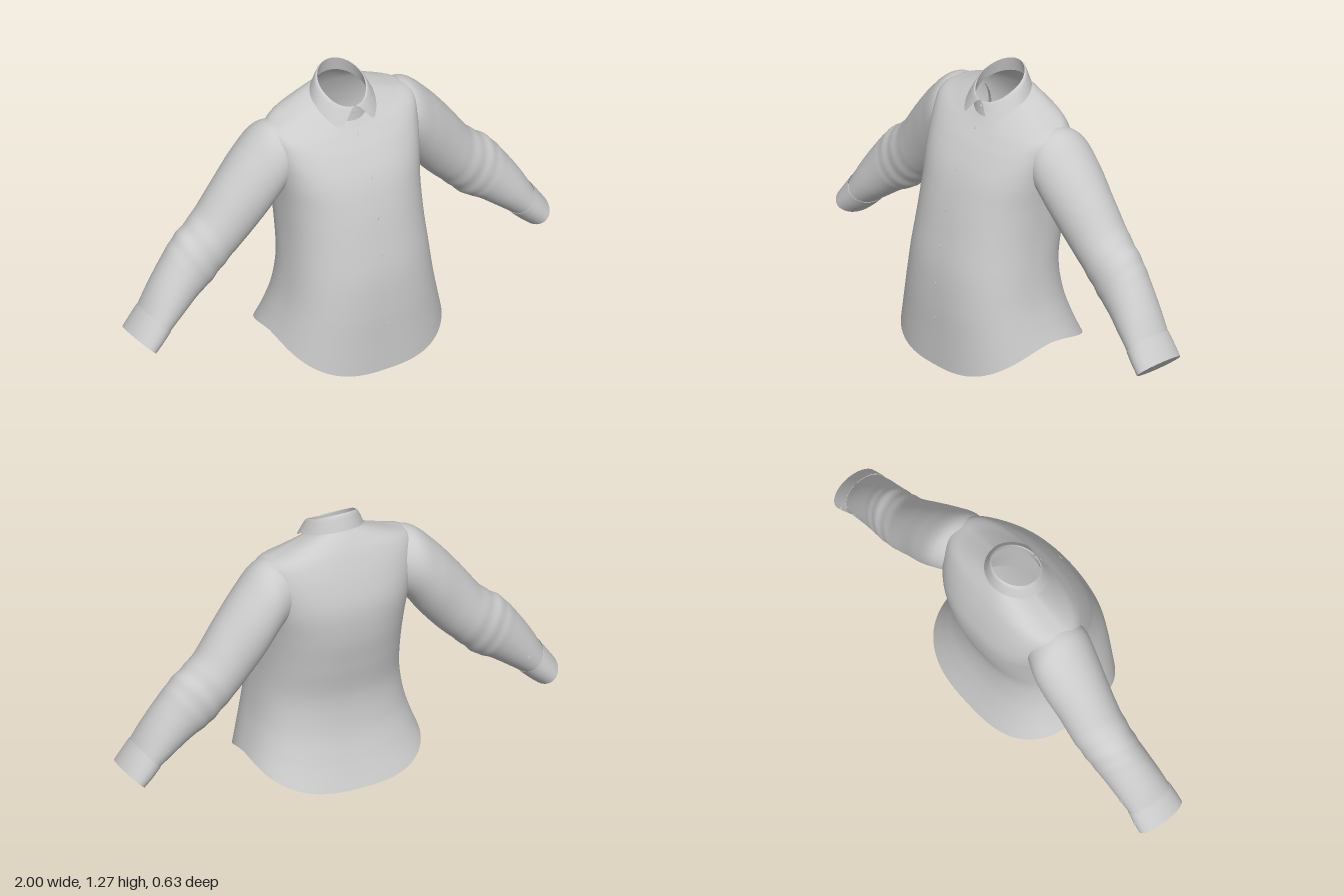
import * as THREE from 'three';

const material = new THREE.MeshStandardMaterial({ color: 0xcccccc, side: THREE.DoubleSide });
const TURN = Math.PI * 2;

// Smoothly interpolates a table of rows at t in 0..1
function sample(rows, t) {
  const f = t * (rows.length - 1);
  const i = Math.min(Math.floor(f), rows.length - 2);
  const k = f - i;
  const at = (j) => rows[Math.max(0, Math.min(rows.length - 1, j))];
  return rows[i].map((_, c) => {
    const p0 = at(i - 1)[c], p1 = at(i)[c], p2 = at(i + 1)[c], p3 = at(i + 2)[c];
    return p1 + 0.5 * k * (p2 - p0 + k * (2 * p0 - 5 * p1 + 4 * p2 - p3 + k * (3 * (p1 - p2) + p3 - p0)));
  });
}

// Skin over point(u, v); a closed skin wraps around in u
function skin(name, nu, nv, closed, point) {
  const pos = [], index = [];
  const cols = closed ? nu : nu + 1;
  for (let j = 0; j <= nv; j++)
    for (let i = 0; i < cols; i++) pos.push(...point(i / nu, j / nv));
  for (let j = 0; j < nv; j++)
    for (let i = 0; i < nu; i++) {
      const a = j * cols + i, b = j * cols + ((i + 1) % cols);
      index.push(a, a + cols, b, b, a + cols, b + cols);
    }
  const geo = new THREE.BufferGeometry();
  geo.setAttribute('position', new THREE.Float32BufferAttribute(pos, 3));
  geo.setIndex(index);
  geo.computeVertexNormals();
  const mesh = new THREE.Mesh(geo, material);
  mesh.name = name;
  return mesh;
}

// Body ring row: yFront, ySide, yBack, halfWidth, zFront, zBack, squareness, rise curve
function bodyPoint([yF, yS, yB, w, zF, zB, n, rise], angle) {
  const c = Math.cos(angle), s = Math.sin(angle);
  const xn = Math.sign(c) * Math.abs(c) ** (2 / n);
  const zn = Math.sign(s) * Math.abs(s) ** (2 / n);
  const mid = (zF + zB) / 2, half = (zF - zB) / 2;
  const y = yS + ((s > 0 ? yF : yB) - yS) * Math.abs(zn) ** rise;
  return [w * xn, y, mid + half * zn];
}

const TORSO = [
  [0.00, 0.15, 0.04, 0.380, 0.312, -0.312, 2.7, 1.7],
  [0.14, 0.22, 0.16, 0.357, 0.312, -0.268, 2.6, 1.7],
  [0.29, 0.32, 0.29, 0.332, 0.312, -0.235, 2.5, 1.7],
  [0.45, 0.45, 0.44, 0.315, 0.303, -0.228, 2.4, 1.7],
  [0.60, 0.60, 0.60, 0.306, 0.277, -0.258, 2.4, 1.7],
  [0.75, 0.75, 0.74, 0.310, 0.243, -0.284, 2.4, 1.7],
  [0.87, 0.88, 0.88, 0.325, 0.202, -0.290, 2.5, 1.7],
  [0.97, 1.00, 1.00, 0.340, 0.145, -0.264, 2.5, 1.7],
  [1.03, 1.078, 1.10, 0.335, 0.100, -0.227, 2.3, 1.5],
  [1.06, 1.115, 1.16, 0.245, 0.077, -0.195, 2.1, 1.3],
  [1.085, 1.16, 1.205, 0.115, 0.060, -0.163, 2, 1.1],
];

// Sleeve section row: outer x, y, inner x, y, zFront, zBack
const SLEEVE = [
  [0.250, 1.095, 0.210, 0.86, 0.030, -0.195],
  [0.350, 1.088, 0.300, 0.785, 0.048, -0.236],
  [0.450, 0.998, 0.370, 0.69, 0.035, -0.242],
  [0.555, 0.870, 0.445, 0.60, 0.015, -0.234],
  [0.655, 0.735, 0.525, 0.52, 0.000, -0.232],
  [0.755, 0.650, 0.615, 0.43, -0.005, -0.222],
  [0.825, 0.560, 0.690, 0.385, 0.000, -0.212],
  [0.888, 0.465, 0.765, 0.330, 0.008, -0.203],
  [0.934, 0.382, 0.836, 0.276, 0.012, -0.194],
];
const CUFF = [
  [0.934, 0.387, 0.833, 0.276, 0.016, -0.197],
  [0.968, 0.339, 0.870, 0.238, 0.020, -0.200],
  [1.000, 0.292, 0.910, 0.203, 0.022, -0.200],
];

function sleevePoint([ox, oy, ix, iy, zF, zB], angle, swell = 1) {
  const c = Math.cos(angle) * 0.5 * swell, s = Math.sin(angle) * 0.5 * swell;
  return [(ox + ix) / 2 + (ox - ix) * c, (oy + iy) / 2 + (oy - iy) * c, (zF + zB) / 2 - (zF - zB) * s];
}

// Soft slanted folds at the elbow
function folds(angle, v) {
  const elbow = Math.exp(-(((v - 0.58) / 0.09) ** 2));
  return 1 + 0.016 * elbow * Math.sin(v * 75 + 1.6 * Math.sin(angle));
}

function button(x, y, z, tilt = 0, r = 0.008) {
  const mesh = new THREE.Mesh(new THREE.CylinderGeometry(r, r, 0.005, 16).rotateX(Math.PI / 2), material);
  mesh.name = 'button';
  mesh.position.set(x, y, z);
  mesh.rotation.x = tilt;
  return mesh;
}

function createSleeve(side) {
  const g = new THREE.Group();
  g.name = side > 0 ? 'leftSleeve' : 'rightSleeve';
  g.add(skin('sleeve', 48, 90, true, (u, v) => sleevePoint(sample(SLEEVE, v), u * TURN, folds(u * TURN, v))));
  g.add(skin('cuff', 48, 8, true, (u, v) => sleevePoint(sample(CUFF, v), u * TURN)));
  // Flat closing of the cuff opening
  g.add(skin('cuffOpening', 48, 2, true, (u, v) => sleevePoint(CUFF[2], u * TURN, 1 - v)));
  // Cuff and placket buttons at the back of the wrist
  g.add(button(0.92, 0.288, -0.2, 0, 0.007), button(0.835, 0.385, -0.202, 0, 0.006));
  g.scale.x = side;
  return g;
}

function createCollar() {
  const g = new THREE.Group();
  g.name = 'collar';
  // Upright band around the neck
  const base = TORSO[TORSO.length - 1];
  const rim = [1.152, 1.218, 1.272, 0.100, 0.057, -0.148, 2, 1.1];
  g.add(skin('collarStand', 64, 6, true, (u, v) => bodyPoint(sample([base, rim], v), u * TURN)));
  // Folded leaf, cut away at the front to leave two points
  const hem = [1.058, 1.155, 1.203, 0.137, 0.106, -0.176, 2, 1.1];
  const fold = [1.145, 1.207, 1.262, 0.112, 0.066, -0.157, 2, 1.1];
  const rows = [hem, fold, rim];
  g.add(skin('collarLeaf', 72, 12, false, (u, v) => {
    const start = 0.05 + 0.58 * Math.max(0, 1 - v * 1.6);
    return bodyPoint(sample(rows, v), Math.PI / 2 + start + u * (TURN - 2 * start));
  }));
  return g;
}

export function createModel() {
  const shirt = new THREE.Group();
  shirt.name = 'shirt';
  shirt.add(skin('torso', 96, 80, true, (u, v) => bodyPoint(sample(TORSO, v), u * TURN)));
  // Saddle-shaped closing of the hem, spanned from side to side
  shirt.add(skin('hemOpening', 48, 16, false, (u, v) => {
    const [x, y, z] = bodyPoint(TORSO[0], (u - 0.5) * Math.PI);
    return [x * (1 - 2 * v), y, z];
  }));
  shirt.add(createCollar(), createSleeve(1), createSleeve(-1));

  // Front buttons, laid on the chest curve and tilted with its slope
  const buttons = new THREE.Group();
  buttons.name = 'frontButtons';
  for (const y of [0.22, 0.38, 0.55, 0.71, 0.88, 1.04]) {
    let lo = 0, hi = 1;
    for (let i = 0; i < 30; i++) {
      const mid = (lo + hi) / 2;
      if (sample(TORSO, mid)[0] < y) lo = mid; else hi = mid;
    }
    const p = sample(TORSO, lo), q = sample(TORSO, lo - 0.01);
    buttons.add(button(0, y, p[4], -Math.atan2(q[4] - p[4], p[0] - q[0])));
  }
  buttons.add(button(0, 1.125, 0.06));
  shirt.add(buttons);
  return shirt;
}
